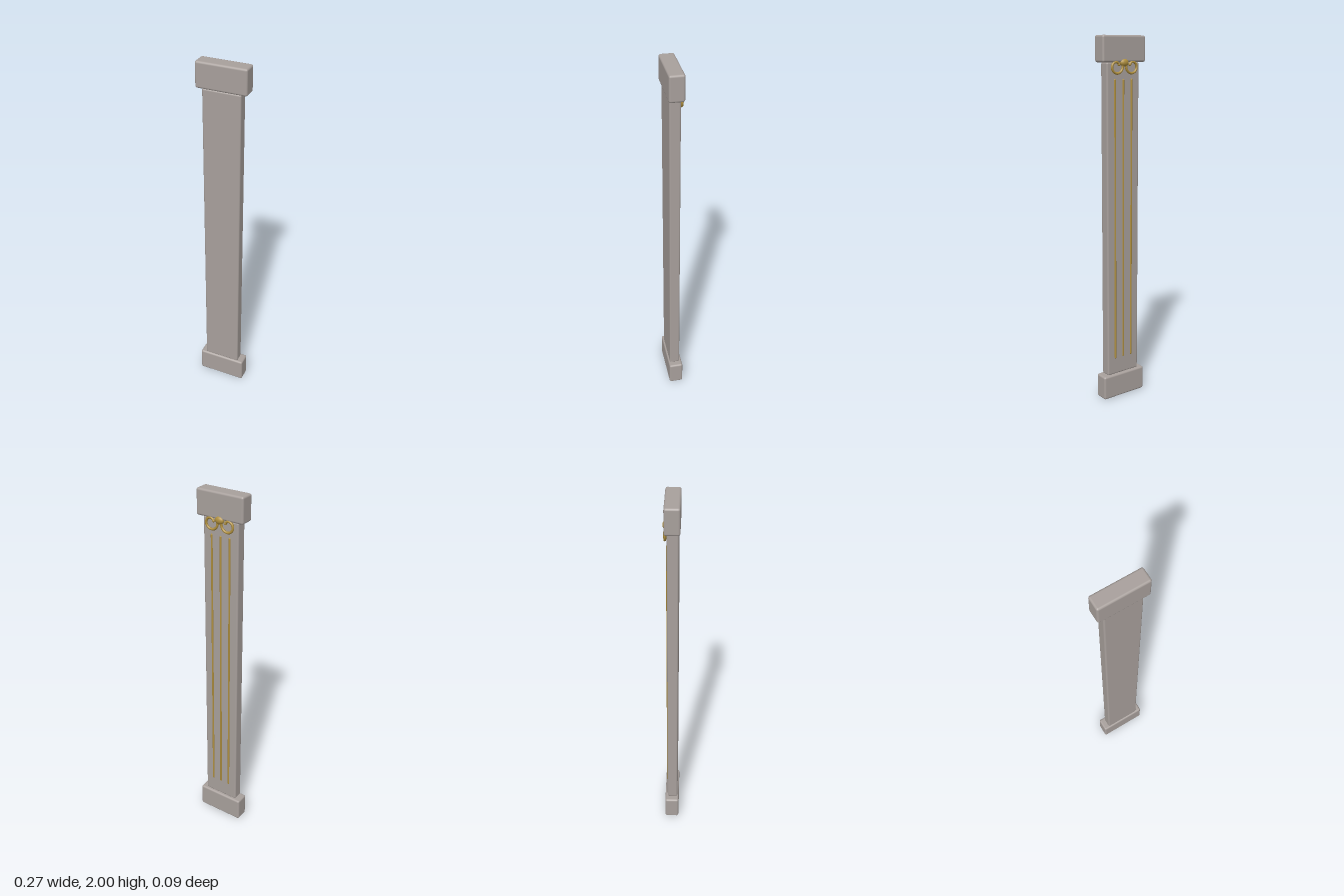
import * as THREE from 'three';
import { RoundedBoxGeometry } from 'three/addons/geometries/RoundedBoxGeometry.js';

export function createModel() {
  const pilaster = new THREE.Group();
  pilaster.name = 'pilaster';
  const stone = new THREE.MeshStandardMaterial({ name: 'warm grey stone', color: 0xa8a09c });
  const gold = new THREE.MeshStandardMaterial({ name: 'old gold', color: 0xb0903f });

  const add = (name, geometry, material, x, y, z) => {
    const mesh = new THREE.Mesh(geometry, material);
    mesh.name = name;
    mesh.position.set(x, y, z);
    pilaster.add(mesh);
    return mesh;
  };

  // Plinth and capital blocks with softened edges
  const block = new RoundedBoxGeometry(0.272, 0.136, 0.079, 2, 0.011);
  add('base', block, stone, 0, 0.068, 0.004);
  add('capital', block, stone, 0, 1.932, 0.004);

  // Shaft between the blocks
  add('shaft', new RoundedBoxGeometry(0.206, 1.73, 0.058, 2, 0.009), stone, 0, 1, 0.007);

  // Gilded reeds on the back face
  const reed = new THREE.CapsuleGeometry(0.0055, 1.54, 3, 8);
  for (const x of [-0.053, 0, 0.053]) add('reed', reed, gold, x, 1.005, -0.0215);

  // Mirrored scrolls: each sweeps down from the centre, outward, and curls in
  for (const side of [-1, 1]) {
    const points = [];
    for (let i = 0; i <= 24; i++) {
      const t = i / 24;
      const angle = Math.PI * (0.85 + 1.95 * t);
      const radius = 0.037 - 0.021 * t * t;
      points.push(new THREE.Vector3(
        side * (0.048 + radius * Math.cos(angle)), 1.843 + radius * Math.sin(angle), -0.032));
    }
    const curve = new THREE.CatmullRomCurve3(points);
    add('scroll', new THREE.TubeGeometry(curve, 48, 0.0065, 8), gold, 0, 0, 0);
    // Rounded ends of the scroll
    for (const end of [points[0], points[24]])
      add('scrollTip', new THREE.SphereGeometry(0.0075, 10, 8), gold, end.x, end.y, end.z);
  }

  // Raised boss joining the scrolls
  const boss = add('boss', new THREE.SphereGeometry(1, 16, 10), gold, 0, 1.862, -0.031);
  boss.scale.set(0.026, 0.02, 0.015);

  return pilaster;
}
